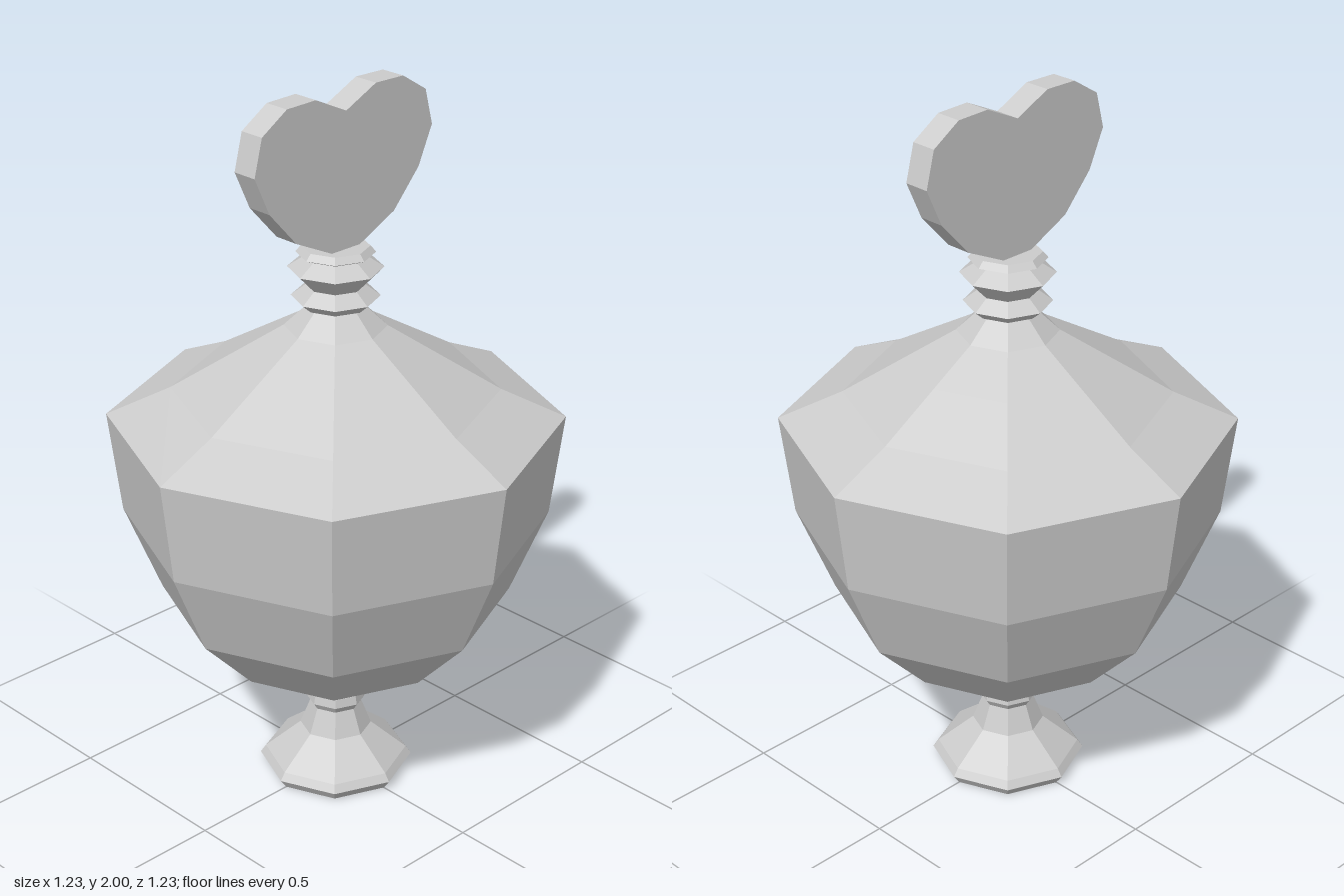
import * as THREE from 'three';

const SIDES = 8;

function createMaterial() {
  return new THREE.MeshStandardMaterial({ color: 0xcccccc, flatShading: true });
}

function addMesh(group, name, geometry, material) {
  const flat = geometry.index ? geometry.toNonIndexed() : geometry;
  flat.computeVertexNormals();
  const mesh = new THREE.Mesh(flat, material);
  mesh.name = name;
  group.add(mesh);
}

// Octagonal turned part; profile is [radius, height], bottom to top
function turned(profile) {
  return new THREE.LatheGeometry(profile.map(([r, y]) => new THREE.Vector2(r, y)), SIDES);
}

// Heart outline: right half, mirrored for the left
function heartGeometry() {
  const half = [
    [0.04, 1.575], [0.175, 1.64], [0.265, 1.74], [0.313, 1.845],
    [0.287, 1.945], [0.203, 1.998], [0.105, 2.0],
  ];
  const mirrored = half.map(([x, y]) => [-x, y]).reverse();
  const shape = new THREE.Shape(
    [...half, [0, 1.95], ...mirrored].map(([x, y]) => new THREE.Vector2(x, y))
  );
  const geometry = new THREE.ExtrudeGeometry(shape, { depth: 0.073, bevelEnabled: false });
  geometry.translate(0, 0, -0.035);
  return geometry;
}

export function createModel() {
  const model = new THREE.Group();
  model.name = 'heartBottle';
  const material = createMaterial();

  // Flared foot with a closed underside
  addMesh(model, 'foot', turned([
    [0, 0], [0.195, 0], [0.215, 0.028], [0.2, 0.05], [0.1, 0.132], [0.072, 0.205],
  ]), material);

  // Small collar between foot and bowl
  addMesh(model, 'stemCollar', turned([
    [0.072, 0.205], [0.085, 0.225], [0.08, 0.25], [0.065, 0.252],
  ]), material);

  // Faceted bowl
  addMesh(model, 'bowl', turned([
    [0.065, 0.25], [0.32, 0.4], [0.48, 0.57], [0.58, 0.81], [0.615, 1.095],
  ]), material);

  // Concave shoulder sweeping up to the neck
  addMesh(model, 'shoulder', turned([
    [0.615, 1.095], [0.44, 1.175], [0.27, 1.277], [0.137, 1.357], [0.075, 1.415],
  ]), material);

  // Stacked neck rings, closed on top
  addMesh(model, 'neckRings', turned([
    [0.075, 1.415], [0.09, 1.418], [0.118, 1.442], [0.078, 1.472],
    [0.127, 1.522], [0.08, 1.552], [0.105, 1.563], [0.09, 1.58], [0, 1.58],
  ]), material);

  // Flat heart stopper
  addMesh(model, 'heartStopper', heartGeometry(), material);

  return model;
}
